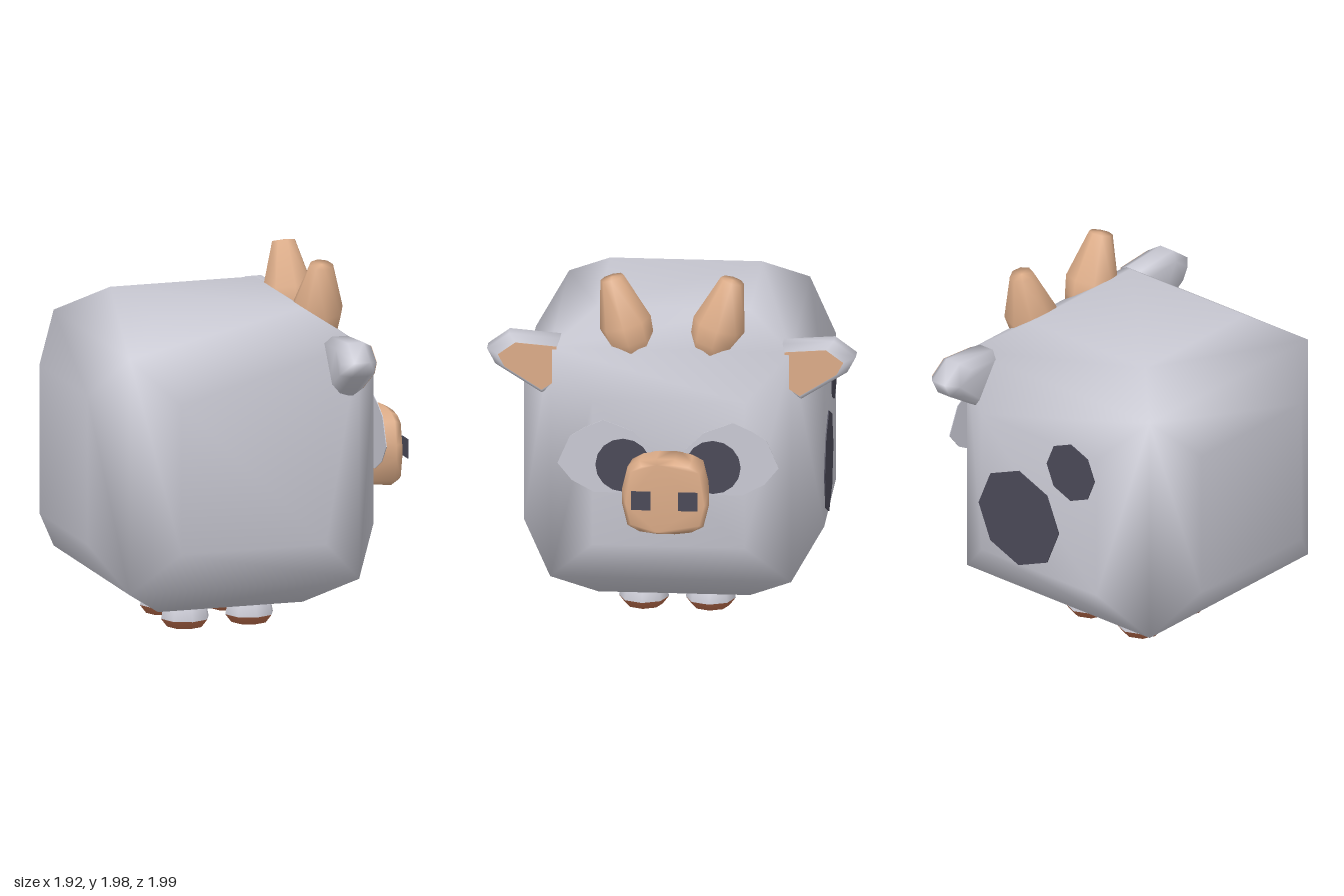
import * as THREE from 'three';
import { mergeVertices } from 'three/addons/utils/BufferGeometryUtils.js';
import { ConvexGeometry } from 'three/addons/geometries/ConvexGeometry.js';

const material = (name, color) => {
  const m = new THREE.MeshStandardMaterial({ color });
  m.name = name;
  return m;
};

// Smooth-shaded convex solid through a set of points
function hull(points) {
  const g = new ConvexGeometry(points);
  g.deleteAttribute('normal');
  const merged = mergeVertices(g, 1e-4);
  merged.computeVertexNormals();
  return merged;
}

// Thin plate facing +x, outlined by [z, y] pairs
function plate(outline) {
  const shape = new THREE.Shape(outline.map(([z, y]) => new THREE.Vector2(-z, y)));
  const g = new THREE.ExtrudeGeometry(shape, { depth: 0.004, bevelEnabled: false });
  return g.rotateY(Math.PI / 2);
}

const lathe = (profile, sides) =>
  new THREE.LatheGeometry(profile.map(([r, y]) => new THREE.Vector2(r, y)), sides);

const scaled = (outline, k, cz, cy) =>
  outline.map(([z, y]) => [cz + (z - cz) * k, cy + (y - cy) * k]);

const ringAt = (outline, x) => outline.map(([z, y]) => new THREE.Vector3(x, y, z));

export function createModel() {
  const hide = material('hide grey', 0xc9c9d3);
  const dark = material('dark patch', 0x4a4957);
  const tan = material('tan', 0xdcac88);
  const hoofBrown = material('hoof brown', 0xc2714f);

  const model = new THREE.Group();
  model.name = 'cow';
  const cow = new THREE.Group();
  cow.name = 'cowParts';
  cow.position.set(-0.135, 0, 0.018);
  cow.rotation.y = 0.042;
  model.add(cow);

  const add = (name, geometry, mat, x = 0, y = 0, z = 0) => {
    const mesh = new THREE.Mesh(geometry, mat);
    mesh.name = name;
    mesh.position.set(x, y, z);
    cow.add(mesh);
    return mesh;
  };

  // Body: a cube whose six faces bulge out to smaller flat squares
  const flat = 0.41, corner = 0.65, face = 0.81;
  const bodyPoints = [];
  for (const a of [-1, 1]) for (const b of [-1, 1]) for (const c of [-1, 1]) {
    bodyPoints.push(
      new THREE.Vector3(a * corner, b * corner, c * corner),
      new THREE.Vector3(a * face, b * flat, c * flat),
      new THREE.Vector3(a * flat, b * face, c * flat),
      new THREE.Vector3(a * flat, b * flat, c * face));
  }
  add('body', hull(bodyPoints), hide, 0, 0.947, 0);

  // Muzzle: rounded block that widens forward, then rounds off
  const muzzleRing = [];
  for (const s of [-1, 1]) for (const t of [-1, 1]) {
    muzzleRing.push([s * 0.05, t * 0.212], [s * 0.14, t * 0.2],
      [s * 0.205, t * 0.165], [s * 0.235, t * 0.04]);
  }
  const muzzlePoints = [[0.75, 0.9], [1.0, 1], [1.04, 0.9]].flatMap(
    ([x, k]) => ringAt(scaled(muzzleRing, k, 0, 0), x));
  add('muzzle', hull(muzzlePoints), tan, 0, 0.882, 0);

  const eyeOutline = [[0.597, 1.0], [0.53, 1.155], [0.45, 1.205], [0.35, 1.25], [0.195, 1.19],
    [0.09, 1.09], [0.04, 0.97], [0.08, 0.88], [0.2, 0.84], [0.4, 0.84], [0.52, 0.905]];
  const earOutline = [[0.995, 1.565], [0.877, 1.652], [0.6, 1.63],
    [0.6, 1.39], [0.7, 1.322], [0.95, 1.48]];
  const pupil = new THREE.CylinderGeometry(0.15, 0.15, 0.004, 16).rotateZ(Math.PI / 2);
  const nostril = new THREE.BoxGeometry(0.006, 0.105, 0.105);
  const horn = lathe([[0, -0.2], [0.11, -0.2], [0.13, -0.1], [0.143, 0], [0.065, 0.26], [0, 0.265]], 8);

  for (const s of [1, -1]) {
    const side = s > 0 ? 'left' : 'right';
    const mirror = outline => outline.map(([z, y]) => [s * z, y]);

    // Eyes and nostrils
    add(side + 'Eye', plate(mirror(eyeOutline)), hide, 0.821);
    add(side + 'Pupil', pupil, dark, 0.829, 0.997, s * 0.242);
    add(side + 'Nostril', nostril, dark, 1.083, 0.883, s * 0.127);

    // Horns leaning outward
    add(side + 'Horn', horn, tan, 0.545, 1.715, s * 0.253).rotation.x = s * 0.28;

    // Ears with a tan inner face
    const outer = mirror(earOutline);
    const inner = scaled(outer, 0.8, s * 0.68, 1.49);
    const earPoints = [[-0.1, inner], [-0.045, outer], [0.045, outer], [0.1, inner]].flatMap(
      ([x, ring]) => ringAt(ring, x));
    add(side + 'Ear', hull(earPoints), hide, 0.555);
    add(side + 'InnerEar', plate(inner), tan, 0.653);
  }

  // Legs and hooves
  const leg = lathe([[0.135, 0.045], [0.112, 0.16], [0, 0.16]], 8);
  const hoof = lathe([[0, 0], [0.1, 0], [0.135, 0.045]], 8);
  for (const [end, x] of [['front', 0.182], ['back', -0.182]]) {
    for (const [side, z] of [['Left', 0.18], ['Right', -0.18]]) {
      add(end + side + 'Leg', leg, hide, x, 0, z);
      add(end + side + 'Hoof', hoof, hoofBrown, x, 0, z);
    }
  }

  // Dark coat patches on the right flank
  for (const [r, x, y] of [[0.285, 0.14, 0.82], [0.17, -0.23, 1.22]]) {
    const patch = new THREE.CylinderGeometry(r, r, 0.006, 8).rotateX(Math.PI / 2);
    add('coatPatch', patch, dark, x, y, -0.813);
  }

  return model;
}
